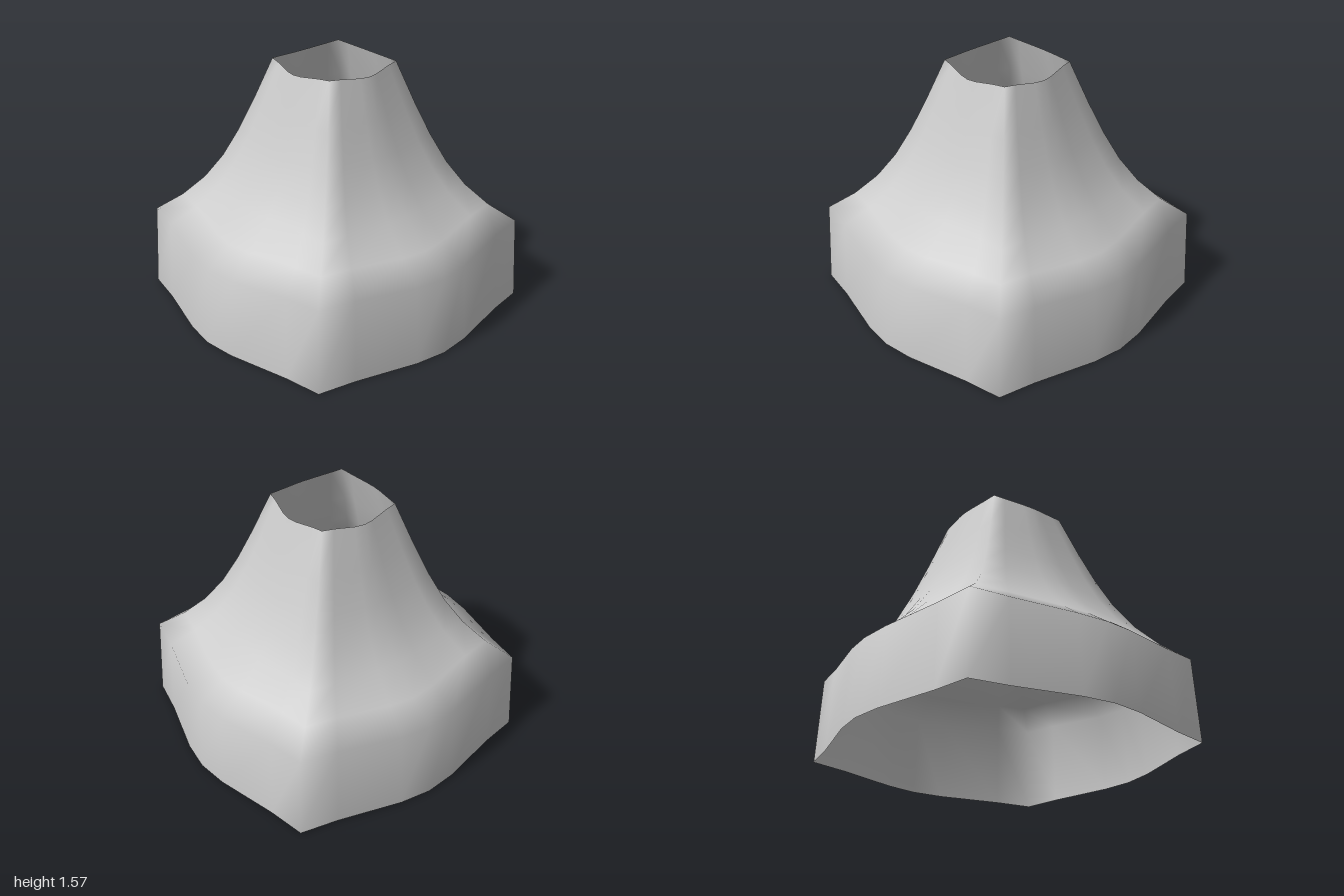
import * as THREE from 'three';

// Each level: [corner half-width, corner height, mid-side reach, mid-side height]
const LEVELS = [
  [0.825, 0, 1.0, 0],
  [0.805, 0.53, 0.97, 0.49],
  [0.68, 0.64, 0.81, 0.605],
  [0.575, 0.77, 0.65, 0.765],
  [0.49, 0.92, 0.545, 0.92],
  [0.415, 1.1, 0.465, 1.085],
  [0.345, 1.3, 0.385, 1.3],
  [0.26, 1.565, 0.31, 1.54],
];
// One scalloped side: [position along the side, share of the outward bulge]
const SIDE = [[-1, 0], [-0.715, 0.26], [-0.24, 0.86], [0, 1], [0.24, 0.86], [0.715, 0.26]];

export function createModel() {
  const positions = [];
  const indices = [];
  const ring = SIDE.length * 4;

  // Four sides per level, each turned a quarter from the last
  for (const [corner, cornerY, mid, midY] of LEVELS) {
    for (let q = 0; q < 4; q++) {
      for (const [along, bulge] of SIDE) {
        const p = new THREE.Vector3(
          corner * along,
          THREE.MathUtils.lerp(cornerY, midY, bulge),
          THREE.MathUtils.lerp(corner, mid, bulge),
        ).applyAxisAngle(THREE.Object3D.DEFAULT_UP, q * Math.PI / 2);
        positions.push(p.x, p.y, p.z);
      }
    }
  }

  // Join neighbouring levels into an open-ended shell
  for (let j = 0; j < LEVELS.length - 1; j++) {
    for (let i = 0; i < ring; i++) {
      const a = j * ring + i;
      const b = j * ring + (i + 1) % ring;
      indices.push(a, b, b + ring, a, b + ring, a + ring);
    }
  }

  const geometry = new THREE.BufferGeometry();
  geometry.setAttribute('position', new THREE.Float32BufferAttribute(positions, 3));
  geometry.setIndex(indices);
  geometry.computeVertexNormals();

  const shade = new THREE.Mesh(
    geometry,
    new THREE.MeshStandardMaterial({ color: 0xcccccc, side: THREE.DoubleSide }),
  );
  shade.name = 'flaredShade';

  const group = new THREE.Group();
  group.name = 'lampshade';
  group.add(shade);
  return group;
}
